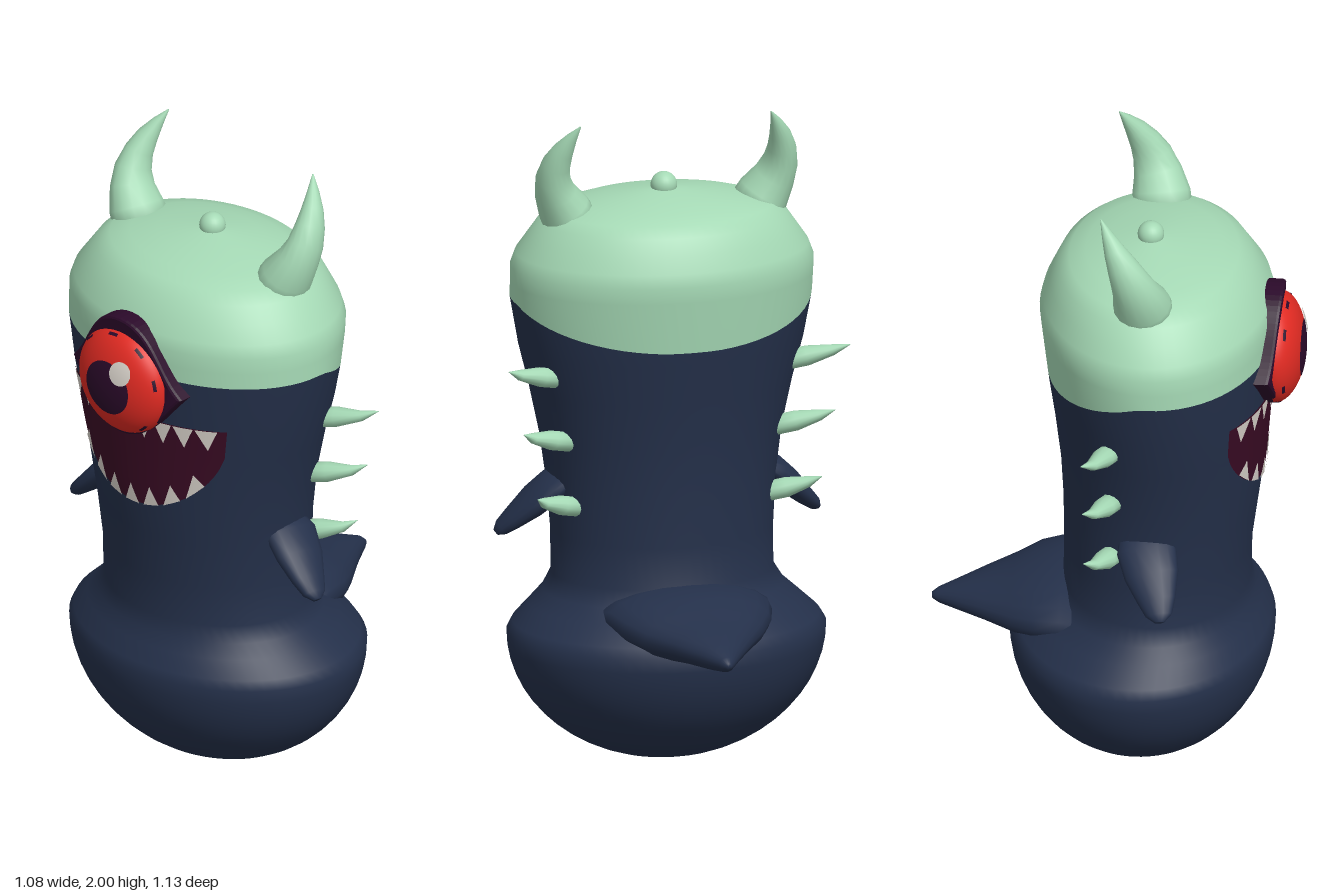
import * as THREE from 'three';

const mat = (name, color, side = THREE.FrontSide) => {
  const m = new THREE.MeshStandardMaterial({ color, side });
  m.name = name;
  return m;
};
const V = (x, y, z) => new THREE.Vector3(x, y, z);

// Body outline: height, half width, front z, back z
const PROFILE = [
  [0.4, 0.488, 0.47, -0.33], [0.43, 0.47, 0.46, -0.31], [0.48, 0.415, 0.43, -0.25],
  [0.52, 0.37, 0.41, -0.2], [0.57, 0.34, 0.397, -0.167], [0.7, 0.34, 0.4, -0.165],
  [0.85, 0.35, 0.42, -0.167], [1.0, 0.37, 0.44, -0.175], [1.15, 0.403, 0.452, -0.192],
  [1.28, 0.437, 0.462, -0.21], [1.43, 0.465, 0.47, -0.228], [1.53, 0.465, 0.47, -0.238],
  [1.57, 0.45, 0.46, -0.228], [1.62, 0.415, 0.43, -0.206], [1.67, 0.38, 0.4, -0.183],
  [1.7, 0.34, 0.36, -0.15], [1.72, 0.27, 0.31, -0.1], [1.738, 0.18, 0.24, -0.04],
  [1.752, 0.08, 0.16, 0.04], [1.76, 0.002, 0.102, 0.098],
];

// Ellipse of the body at a height: half width, half depth, centre z
function section(y) {
  if (y < 0.4) {
    const k = Math.sqrt(Math.max(0, 1 - (1 - y / 0.4) ** 2));
    return [0.488 * k + 1e-4, 0.4 * k + 1e-4, 0.07];
  }
  let i = 0;
  while (i < PROFILE.length - 2 && PROFILE[i + 1][0] < y) i++;
  const a = PROFILE[i], b = PROFILE[i + 1];
  const t = Math.min(1, (y - a[0]) / (b[0] - a[0]));
  const [rx, zf, zb] = [1, 2, 3].map((k) => a[k] + (b[k] - a[k]) * t);
  return [rx, (zf - zb) / 2, (zf + zb) / 2];
}
const bodyPoint = (y, a) => {
  const [rx, rz, cz] = section(y);
  return V(rx * Math.sin(a), y, cz + rz * Math.cos(a));
};
const bodyFront = (x, y) => {
  const [rx, rz, cz] = section(y);
  return cz + rz * Math.sqrt(Math.max(0, 1 - (x / rx) ** 2));
};

// Skin over closed rings of points, with optional end caps
function loft(rings, capStart, capEnd) {
  const n = rings[0].length, pts = rings.flat(), idx = [];
  for (let i = 0; i < rings.length - 1; i++) {
    for (let j = 0; j < n; j++) {
      const a = i * n + j, b = i * n + ((j + 1) % n);
      idx.push(a, b, a + n, b, b + n, a + n);
    }
  }
  const cap = (start, flip) => {
    const c = V(0, 0, 0), at = pts.length;
    for (let j = 0; j < n; j++) c.addScaledVector(pts[start + j], 1 / n);
    pts.push(c);
    for (let j = 0; j < n; j++) {
      const a = start + j, b = start + ((j + 1) % n);
      idx.push(at, flip ? b : a, flip ? a : b);
    }
  };
  if (capStart) cap(0, true);
  if (capEnd) cap((rings.length - 1) * n, false);
  const g = new THREE.BufferGeometry().setFromPoints(pts);
  g.setIndex(idx);
  g.computeVertexNormals();
  return g;
}

// Tapered limb through stations [x, y, z, half width, half thickness]
function limb(stations, across, sides = 16) {
  const c = stations.map((s) => V(s[0], s[1], s[2]));
  const rings = stations.map((s, i) => {
    const t = c[Math.min(i + 1, c.length - 1)].clone().sub(c[Math.max(i - 1, 0)]).normalize();
    const u = across.clone().addScaledVector(t, -across.dot(t)).normalize();
    const v = t.clone().cross(u);
    return Array.from({ length: sides }, (_, j) => {
      const a = (j / sides) * Math.PI * 2;
      return c[i].clone().addScaledVector(u, s[3] * Math.cos(a)).addScaledVector(v, s[4] * Math.sin(a));
    });
  });
  return loft(rings, true, true);
}

// Thin painted patch between two curves, laid on a surface
function patch(x0, x1, top, bottom, depth, nx, ny) {
  const g = new THREE.PlaneGeometry(1, 1, nx, ny), p = g.attributes.position;
  for (let i = 0; i < p.count; i++) {
    const x = x0 + (x1 - x0) * (p.getX(i) + 0.5), hi = top(x);
    const lo = Math.min(bottom(x), hi - 0.002);
    const y = lo + (hi - lo) * (p.getY(i) + 0.5);
    p.setXYZ(i, x, y, depth(x, y));
  }
  g.computeVertexNormals();
  return g;
}

export function createModel() {
  const navy = mat('navy skin', 0x24304a);
  const mint = mat('mint', 0xa5d9b5);
  const red = mat('eye red', 0xe02a22);
  const plum = mat('dark plum', 0x2b0a2a);
  const maroon = mat('mouth maroon', 0x3a0b24, THREE.DoubleSide);
  const ivory = mat('ivory', 0xd8d2ca, THREE.DoubleSide);

  const model = new THREE.Group();
  const add = (name, geometry, material, parent = model) => {
    const m = new THREE.Mesh(geometry, material);
    m.name = name;
    parent.add(m);
    return m;
  };

  // Body and head cap, meeting along a line that dips toward the back
  const SEG = 64;
  const ring = (f) => Array.from({ length: SEG }, (_, j) => {
    const a = (j / SEG) * Math.PI * 2;
    return bodyPoint(f(a), a);
  });
  const cut = (a) => 1.43 - 0.11 * Math.min(1, Math.max(0, (0.1 - bodyPoint(1.4, a).z) / 0.32));
  const bowl = Array.from({ length: 14 }, (_, i) => 0.4 * (1 - Math.cos((i / 14) * Math.PI / 2)));
  const low = [...bowl, ...PROFILE.map((p) => p[0]).filter((y) => y < 1.3)];
  const high = [1.48, ...PROFILE.map((p) => p[0]).filter((y) => y > 1.5)];
  add('body', loft([...low.map((y) => ring(() => y)), ring(cut)], true, false), navy);
  add('headCap', loft([ring(cut), ...high.map((y) => ring(() => y))], false, true), mint);
  add('headKnob', new THREE.SphereGeometry(0.04, 24, 16), mint).position.set(0, 1.765, 0.095);

  // Tail
  add('tail', limb([
    [0, 0.48, -0.04, 0.29, 0.09], [0, 0.487, -0.16, 0.262, 0.097], [0, 0.475, -0.24, 0.235, 0.093],
    [0, 0.46, -0.31, 0.19, 0.08], [0, 0.453, -0.4, 0.125, 0.06], [0, 0.442, -0.48, 0.067, 0.043],
    [0, 0.435, -0.545, 0.025, 0.024], [0, 0.433, -0.565, 0.01, 0.01],
  ], V(1, 0, 0), 20), navy);

  // Paired horns, arm fins and side spikes
  for (const s of [1, -1]) {
    const side = s > 0 ? 'left' : 'right';
    const flip = (list) => list.map(([x, ...rest]) => [s * x, ...rest]);
    add(side + 'Horn', limb(flip([
      [0.285, 1.66, 0.1, 0.096, 0.085], [0.315, 1.715, 0.097, 0.088, 0.078],
      [0.345, 1.77, 0.083, 0.073, 0.062], [0.358, 1.82, 0.065, 0.061, 0.052],
      [0.355, 1.87, 0.042, 0.048, 0.043], [0.342, 1.915, 0.018, 0.034, 0.033],
      [0.322, 1.96, -0.006, 0.018, 0.018], [0.3, 2.0, -0.028, 0.002, 0.002],
    ]), V(0, 0, 1)), mint);
    add(side + 'ArmFin', limb(flip([
      [0.29, 0.885, 0.11, 0.08, 0.03], [0.345, 0.85, 0.115, 0.09, 0.042],
      [0.4, 0.8, 0.135, 0.082, 0.04], [0.455, 0.748, 0.155, 0.058, 0.03],
      [0.49, 0.717, 0.165, 0.04, 0.022], [0.506, 0.702, 0.168, 0.015, 0.01],
    ]), V(0, 0, 1)), navy);
    [[0.39, 1.215, 0.537], [0.355, 1.015, 0.49], [0.325, 0.81, 0.447]].forEach(([x, y, tip], i) => {
      add(side + 'Spike' + (i + 1), limb(flip([
        [x - 0.03, y - 0.005, 0.012, 0.035, 0.03], [x + 0.03, y + 0.01, -0.01, 0.035, 0.03],
        [(x + tip) / 2 + 0.03, y + 0.029, -0.037, 0.019, 0.016], [tip, y + 0.05, -0.067, 0.001, 0.001],
      ]), V(0, 0, 1), 12), mint);
    });
  }

  // Mouth and teeth
  const MT = 1.275, R = 0.315;
  const lip = (x) => MT - R * Math.sqrt(Math.max(0, 1 - (x / R) ** 2));
  const onBody = (off) => (x, y) => bodyFront(x, y) + off;
  add('mouth', patch(-R, R, () => MT, lip, onBody(0.004), 40, 12), maroon);
  const teeth = new THREE.Group();
  teeth.name = 'teeth';
  model.add(teeth);
  const tooth = (name, cx, w, h, upper) => {
    const peak = (x) => h * Math.max(0, 1 - Math.abs(x - cx) / w);
    const top = upper ? () => MT : (x) => lip(x) + peak(x);
    const bottom = upper ? (x) => MT - peak(x) : lip;
    add(name, patch(cx - w, cx + w, top, bottom, onBody(0.009), 6, 3), ivory, teeth);
  };
  for (let i = -4; i <= 4; i++) tooth('upperTooth', i * 0.066, 0.03, 0.07, true);
  for (let i = -3; i <= 3; i++) tooth('lowerTooth', i * 0.072, 0.027, 0.065, false);

  // Eyelid
  const EY = 1.387, EZ = 0.475, ER = 0.171, ED = 0.089;
  const lid = new THREE.Shape();
  lid.moveTo(-0.212, 0);
  lid.bezierCurveTo(-0.13, -0.09, -0.1, -0.165, 0, -0.165);
  lid.bezierCurveTo(0.1, -0.165, 0.13, -0.09, 0.212, 0);
  lid.bezierCurveTo(0.13, 0.08, 0.12, 0.205, 0, 0.205);
  lid.bezierCurveTo(-0.12, 0.205, -0.13, 0.08, -0.212, 0);
  const lidGeo = new THREE.ExtrudeGeometry(lid, {
    depth: 0.055, bevelEnabled: true, bevelSize: 0.008, bevelThickness: 0.01, bevelSegments: 2, curveSegments: 16,
  });
  const lp = lidGeo.attributes.position;
  for (let i = 0; i < lp.count; i++) lp.setZ(i, lp.getZ(i) - 0.6 * lp.getX(i) ** 2);
  lidGeo.computeVertexNormals();
  add('eyelid', lidGeo, plum).position.set(0, EY, 0.435);

  // Eyeball, pupil, dark flecks and glint
  const dome = (name, material, k, ...range) => {
    const g = new THREE.SphereGeometry(1, 48, 24, ...range).rotateX(Math.PI / 2);
    g.scale(ER * k, ER * k, ED * k);
    add(name, g, material).position.set(0, EY, EZ);
  };
  dome('eyeball', red, 1, 0, Math.PI * 2, 0, Math.PI / 2);
  dome('pupil', plum, 1.015, 0, Math.PI * 2, 0, 0.52);
  for (const a of [0.3, 1.2, 2.2, 3.3, 4.0, 4.71, 5.4]) dome('eyeFleck', plum, 1.012, a, 0.22, 1.13, 0.1);
  const onEye = (x, y) =>
    EZ + 0.006 + ED * Math.sqrt(Math.max(0, 1 - (x * x + (y - EY) ** 2) / (ER * ER)));
  const gx = 0.054, gy = 1.452, gr = 0.037;
  const arc = (x) => Math.sqrt(Math.max(0, gr * gr - (x - gx) ** 2));
  add('eyeGlint', patch(gx - gr, gx + gr, (x) => gy + arc(x), (x) => gy - arc(x), onEye, 20, 8), ivory);

  return model;
}
